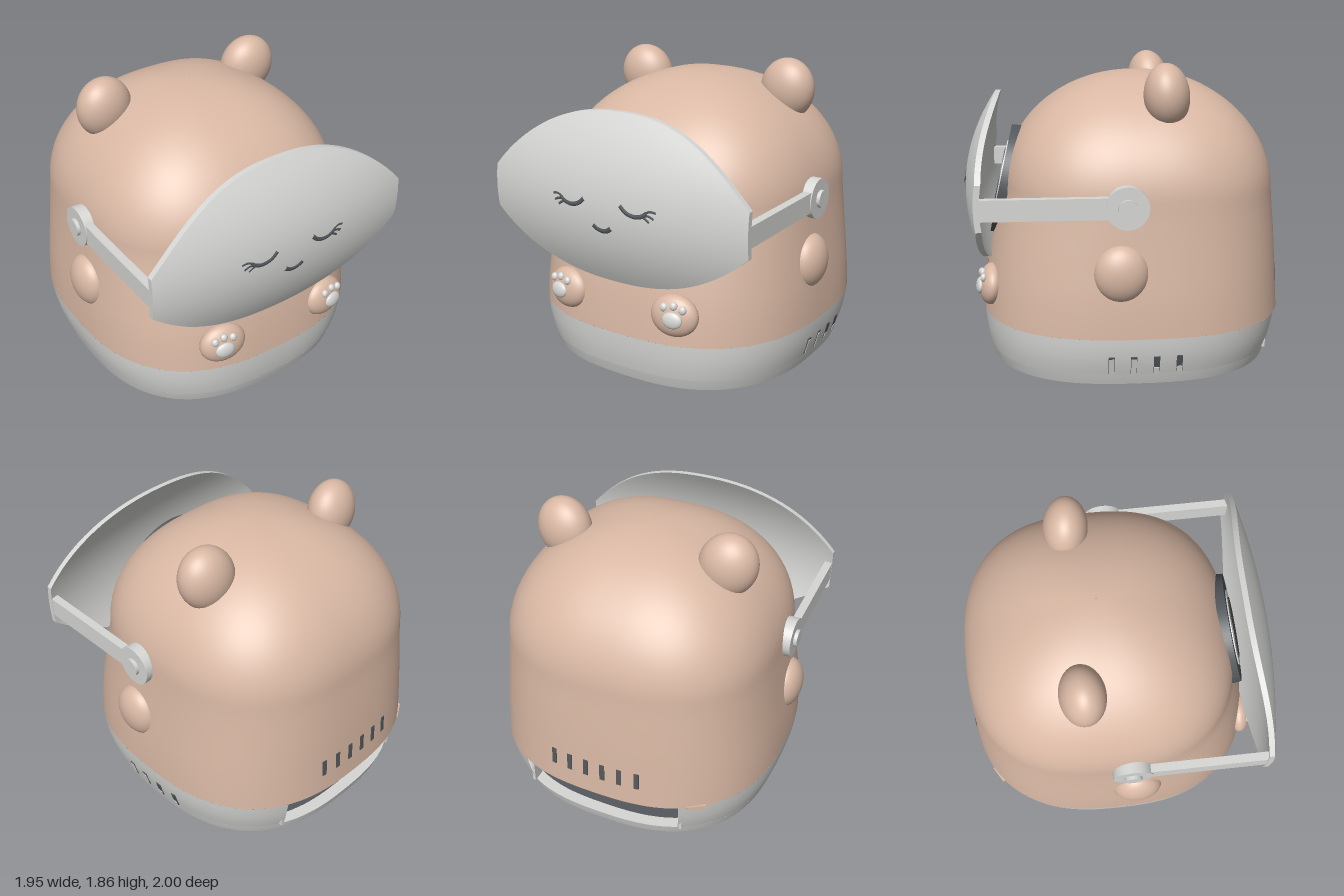
import * as THREE from 'three';
import { toCreasedNormals } from 'three/addons/utils/BufferGeometryUtils.js';

const mat = (name, color, side = THREE.FrontSide) => {
  const m = new THREE.MeshStandardMaterial({ color, side });
  m.name = name;
  return m;
};

const N = 2.6; // squareness of the rounded-square plan

// Closed-form grid surface: rows of points, outward side = (row direction) x (column direction)
function gridSurface(rows, cols, point, crease = 0.6) {
  const pos = [], idx = [];
  for (let i = 0; i <= rows; i++)
    for (let j = 0; j <= cols; j++) pos.push(...point(i, j));
  for (let i = 0; i < rows; i++)
    for (let j = 0; j < cols; j++) {
      const a = i * (cols + 1) + j, c = a + cols + 1;
      idx.push(a, c, a + 1, a + 1, c, c + 1);
    }
  const g = new THREE.BufferGeometry();
  g.setAttribute('position', new THREE.Float32BufferAttribute(pos, 3));
  g.setIndex(idx);
  return toCreasedNormals(g, crease);
}

// Loft of rounded-square sections; row = [y, halfWidth, frontZ, backZ]; angle 0 is the back, growing toward +x
function loft(rows, t0 = 0, t1 = Math.PI * 2, cols = 96) {
  const pw = v => Math.sign(v) * Math.pow(Math.abs(v), 2 / N);
  return gridSurface(rows.length - 1, cols, (i, j) => {
    const [y, hx, f, b] = rows[i];
    const t = t0 + (t1 - t0) * j / cols;
    return [hx * pw(Math.sin(t)), y, (f + b) / 2 - (f - b) / 2 * pw(Math.cos(t))];
  });
}

// Height of the curved visor front at a point
const visorZ = (x, y) => 1 - 0.12 * x * x - 0.6 * (y - 1.08) ** 2;

export function createModel() {
  const root = new THREE.Group();
  root.name = 'bearHelmetHouse';
  const tan = mat('tan', 0xd9b8a4, THREE.DoubleSide);
  const grey = mat('lightGrey', 0xd6d6d4, THREE.DoubleSide);
  const dark = mat('charcoal', 0x54585c, THREE.DoubleSide);

  const add = (name, geo, material, p = [0, 0, 0], parent = root) => {
    const m = new THREE.Mesh(geo, material);
    m.name = name;
    m.position.set(...p);
    parent.add(m);
    return m;
  };
  const ball = (name, material, p, r, parent) => {
    const m = add(name, new THREE.SphereGeometry(1, 40, 28), material, p, parent);
    m.scale.set(...r);
    return m;
  };
  const box = (name, material, p, size, parent) => add(name, new THREE.BoxGeometry(...size), material, p, parent);

  // Shell: sloping wall and dome
  const shell = [[0.3, 0.936, 0.906, -1], [0.45, 0.93, 0.893, -0.99], [0.6, 0.915, 0.87, -0.981],
    [0.8, 0.89, 0.83, -0.968], [0.95, 0.875, 0.79, -0.953]];
  for (let k = 0; k <= 24; k++) {
    const a = Math.min(k / 24 * Math.PI / 2, Math.PI / 2 - 0.003);
    const c = Math.cos(a);
    shell.push([1.05 + 0.725 * Math.sin(a), 0.865 * c, -0.09 + 0.855 * c, -0.09 - 0.855 * c]);
  }
  add('shell', loft(shell), tan);

  // Base: low tray all round, then a wall left open at the back
  add('baseTray', loft([[0, 0.002, -0.03, -0.034], [0, 0.87, 0.855, -0.92], [0.035, 0.882, 0.867, -0.932],
    [0.07, 0.892, 0.877, -0.942], [0.07, 0.002, -0.03, -0.034]]), grey);
  const gap = 0.496;
  add('baseWall', loft([[0.07, 0.892, 0.877, -0.942], [0.13, 0.911, 0.89, -0.962], [0.2, 0.926, 0.899, -0.98],
    [0.26, 0.933, 0.904, -0.992], [0.3, 0.936, 0.906, -1]], gap, Math.PI * 2 - gap), grey);
  add('innerFloor', loft([[0.075, 0.85, 0.83, -0.87], [0.075, 0.002, -0.03, -0.034]]), dark);
  for (const s of [-1, 1]) box('openingJamb', grey, [s * 0.525, 0.185, -0.82], [0.02, 0.23, 0.09]);

  // Back vents
  for (let k = 0; k < 6; k++) {
    const x = -0.28 + 0.112 * k;
    const z = -0.048 - 0.94 * Math.pow(1 - Math.pow(Math.abs(x) / 0.928, N), 1 / N);
    const v = box('backVent', dark, [x, 0.485, z], [0.032, 0.115, 0.008]);
    v.rotation.set(0.06, -x * 0.5, 0);
  }
  const button = box('backButton', tan, [-0.62, 0.3, -0.85], [0.12, 0.025, 0.03]);
  button.rotation.y = 0.55;

  // Side vents on the model's left, partly covered by light slats
  [[0.13, 0.9], [0, 0.9], [-0.135, 0.35], [-0.27, 0.35]].forEach(([z, cover]) => {
    const x = 0.912 * Math.pow(1 - Math.pow(Math.abs(z + 0.036) / 0.926, N), 1 / N);
    const vent = new THREE.Group();
    vent.name = 'sideVent';
    vent.position.set(x, 0.135, z);
    vent.rotation.z = -0.25;
    root.add(vent);
    box('ventSlot', dark, [0, 0, 0], [0.008, 0.112, 0.036], vent);
    box('ventSlat', grey, [0.003, -0.056 + 0.056 * cover, 0], [0.008, 0.112 * cover, 0.032], vent);
  });

  // Ears, side bumps, paws and visor arms, mirrored
  for (const s of [-1, 1]) {
    const ear = ball('ear', tan, [s * 0.535, 1.662, -0.225], [0.18, 0.197, 0.137]);
    ear.rotation.set(0.08, s * -0.1, s * -0.25);
    ball('sideBump', tan, [s * 0.87, 0.68, 0.07], [0.105, 0.172, 0.16]);

    const paw = new THREE.Group();
    paw.name = 'paw';
    paw.position.set(s * 0.395, 0.49, 0.845);
    paw.rotation.set(-0.12, s * 0.15, 0);
    root.add(paw);
    ball('pawBody', tan, [0, 0, 0], [0.15, 0.128, 0.075], paw);
    ball('pawPad', grey, [s * 0.015, -0.01, 0.07], [0.063, 0.05, 0.024], paw);
    for (const [x, y] of [[-0.045, 0.058], [0.015, 0.073], [0.073, 0.058]])
      ball('pawToe', grey, [s * x, y, 0.06], [0.024, 0.026, 0.02], paw);

    box('visorArm', grey, [s * 0.877, 1.072, 0.47], [0.052, 0.125, 0.83]);
    const hub = add('armHub', new THREE.CylinderGeometry(0.125, 0.125, 0.08, 48), grey, [s * 0.87, 1.072, 0.035]);
    const pin = add('armPin', new THREE.CylinderGeometry(0.055, 0.055, 0.06, 32), grey, [s * 0.902, 1.072, 0.035]);
    hub.rotation.z = pin.rotation.z = Math.PI / 2;
  }

  // Round porthole behind the visor
  const port = new THREE.Group();
  port.name = 'porthole';
  port.position.set(0, 1.08, 0.785);
  port.rotation.x = -0.22;
  root.add(port);
  const disc = (name, m, r, front, depth) => {
    const d = add(name, new THREE.CylinderGeometry(r * 0.98, r, depth, 56), m, [0, 0, front - depth / 2], port);
    d.rotation.x = Math.PI / 2;
  };
  disc('portholeBezel', dark, 0.36, 0, 0.07);
  disc('portholeRing', grey, 0.25, 0.008, 0.03);
  disc('portholeGlass', dark, 0.2, 0.014, 0.03);

  // Visor: curved plate with thickness, lofted across x
  const M = 24, cols = 2 * M + 2, steps = 48, W = 0.905;
  add('visor', gridSurface(steps + 2, cols, (i, j) => {
    const u = THREE.MathUtils.clamp(i - 1, 0, steps) / steps * 2 - 1;
    const cap = i === 0 || i === steps + 2;
    const x = W * u, e = Math.pow(Math.abs(u), 2.4);
    const lo = 0.62 + 0.33 * e, hi = 1.64 - 0.42 * e;
    const k = j % cols, front = k <= M;
    const y = THREE.MathUtils.lerp(lo, hi, front ? k / M : (cols - 1 - k) / M);
    const back = 0.035;
    return [x, y, visorZ(x, y) - (cap ? back / 2 : front ? 0 : back)];
  }), grey);

  // Sleeping face: flattened strokes laid on the visor
  const stroke = (name, pts, r) => {
    const curve = new THREE.CatmullRomCurve3(pts.map(([x, y]) => new THREE.Vector3(x, y, 0)));
    const g = new THREE.TubeGeometry(curve, 20, r, 8);
    const p = g.attributes.position;
    for (let i = 0; i < p.count; i++)
      p.setZ(i, visorZ(p.getX(i), p.getY(i)) + 0.002 + p.getZ(i) * 0.35);
    g.computeVertexNormals();
    add(name, g, dark);
  };
  for (const s of [-1, 1]) {
    const side = pts => pts.map(([x, y]) => [s * x, y]);
    stroke('eyelid', side([[0.13, 1.152], [0.17, 1.118], [0.225, 1.103], [0.275, 1.112], [0.31, 1.135]]), 0.013);
    stroke('eyelash', side([[0.3, 1.135], [0.33, 1.148], [0.368, 1.145]]), 0.007);
    stroke('eyelash', side([[0.29, 1.122], [0.325, 1.12], [0.355, 1.107]]), 0.007);
    stroke('eyelash', side([[0.275, 1.112], [0.3, 1.102], [0.325, 1.085]]), 0.007);
  }
  stroke('mouth', [[-0.064, 1.003], [-0.035, 0.984], [0, 0.977], [0.035, 0.984], [0.064, 1.003]], 0.014);

  return root;
}
